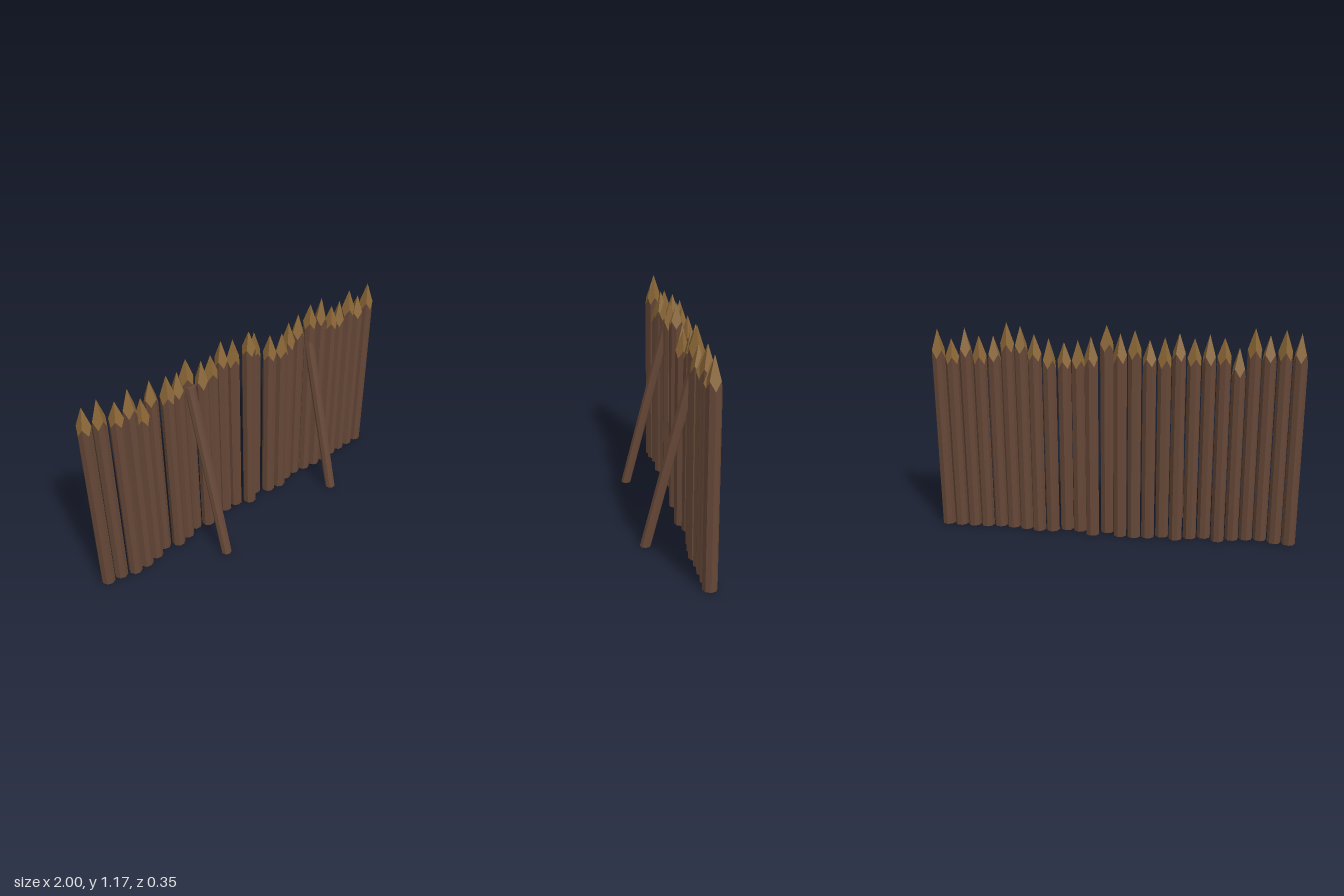
import * as THREE from 'three';

const bark = new THREE.MeshStandardMaterial({ color: 0x654737, flatShading: true });
const cutWood = new THREE.MeshStandardMaterial({ color: 0x8a6636, flatShading: true });

const SIDES = 8;
const RADIUS = 0.0375;

// Tip height and z position of each log, from -x to +x
const TIPS = [1.16, 1.175, 1.14, 1.175, 1.075, 1.13, 1.14, 1.12, 1.15, 1.12, 1.11, 1.16, 1.14,
  1.175, 1.12, 1.09, 1.075, 1.1, 1.12, 1.16, 1.175, 1.1, 1.1, 1.14, 1.08, 1.13];
const DEPTHS = [-0.12, -0.11, -0.083, -0.085, -0.1, -0.128, -0.094, -0.11, -0.137, -0.11, -0.13, -0.137, -0.133,
  -0.093, -0.137, -0.095, -0.083, -0.11, -0.115, -0.1, -0.09, -0.083, -0.093, -0.093, -0.093, -0.09];

// Moves the vertices chosen by the test onto the rim left by four axe cuts
function shapeRim(geometry, tip, cutLength, test) {
  const pos = geometry.attributes.position;
  for (let i = 0; i < pos.count; i++) {
    if (!test(pos.getY(i))) continue;
    const reach = Math.max(Math.abs(pos.getX(i)), Math.abs(pos.getZ(i))) / RADIUS;
    pos.setY(i, tip - cutLength * (reach || 1));
  }
  geometry.computeVertexNormals();
  return geometry;
}

// Upright log with a sharpened top
function makeLog(tip, cutLength) {
  const log = new THREE.Group();
  log.name = 'log';

  const trunkGeometry = new THREE.CylinderGeometry(RADIUS, RADIUS, 1, SIDES).translate(0, 0.5, 0);
  const trunk = new THREE.Mesh(shapeRim(trunkGeometry, tip, cutLength, (y) => y > 0.5), bark);
  trunk.name = 'trunk';

  const pointGeometry = new THREE.ConeGeometry(RADIUS, cutLength, SIDES, 1, true)
    .translate(0, tip - cutLength / 2, 0);
  const middle = tip - cutLength / 2;
  const point = new THREE.Mesh(shapeRim(pointGeometry, tip, cutLength, (y) => y < middle), cutWood);
  point.name = 'sharpenedPoint';

  log.add(trunk, point);
  return log;
}

// Leaning pole, cut level at the ground
function makeBrace(x, height) {
  const geometry = new THREE.CylinderGeometry(0.029, 0.029, height, SIDES).translate(0, height / 2, 0);
  const pos = geometry.attributes.position;
  for (let i = 0; i < pos.count; i++) pos.setZ(i, pos.getZ(i) - 0.258 * pos.getY(i));
  geometry.computeVertexNormals();
  const brace = new THREE.Mesh(geometry, bark);
  brace.name = 'brace';
  brace.position.set(x, 0, 0.146);
  return brace;
}

export function createModel() {
  const model = new THREE.Group();
  model.name = 'palisade';

  // Row of logs
  const wall = new THREE.Group();
  wall.name = 'logWall';
  const end = 1 - RADIUS;
  TIPS.forEach((tip, i) => {
    const log = makeLog(tip, 0.15 + 0.012 * Math.sin(i * 2.3));
    log.position.set(-end + (2 * end * i) / (TIPS.length - 1), 0, DEPTHS[i]);
    const atEnd = i === 0 || i === TIPS.length - 1;
    log.rotation.y = atEnd ? 0 : (i * 2.4) % (Math.PI * 2);
    wall.add(log);
  });
  model.add(wall);

  // Supports on the front side
  model.add(makeBrace(-0.347, 1.0), makeBrace(0.493, 0.95));
  return model;
}
